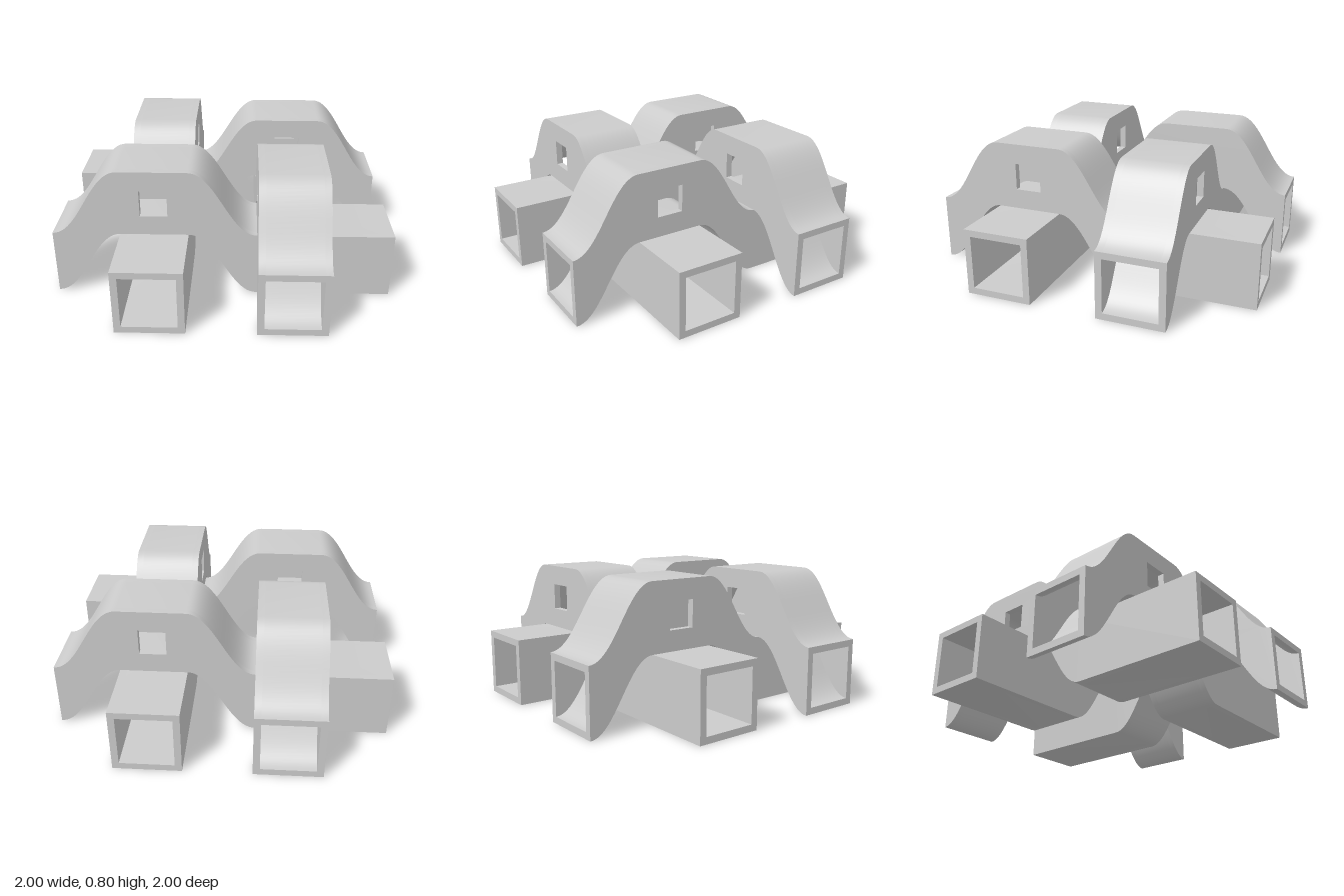
import * as THREE from 'three';
import { toCreasedNormals } from 'three/addons/utils/BufferGeometryUtils.js';

const SIZE = 0.4;    // outer width and height of a tube
const WALL = 0.04;   // wall thickness
const RISE = 0.4;    // height of the hump
const HANDLE = 0.16; // horizontal handle of the S-bends

// Band that follows the hump, between two heights above the tube's underside
function band(lo, hi) {
  const s = new THREE.Shape();
  const bend = (x0, y0, x1, y1) => {
    const h = HANDLE * Math.sign(x1 - x0);
    s.bezierCurveTo(x0 + h, y0, x1 - h, y1, x1, y1);
  };
  s.moveTo(-1, lo);
  bend(-1, lo, -0.6, lo + RISE);
  s.lineTo(-0.2, lo + RISE);
  bend(-0.2, lo + RISE, 0.2, lo);
  s.lineTo(1, lo);
  s.lineTo(1, hi);
  s.lineTo(0.2, hi);
  bend(0.2, hi, -0.2, hi + RISE);
  s.lineTo(-0.6, hi + RISE);
  bend(-0.6, hi + RISE, -1, hi);
  s.closePath();
  return s;
}

// Extrude a band along z, starting at z; open plates lose their hidden end caps
function extrude(shape, z, depth, capped) {
  const g = new THREE.ExtrudeGeometry(shape, { depth, bevelEnabled: false, curveSegments: 24 });
  if (!capped) {
    const { start, count } = g.groups[1];
    for (const key of ['position', 'normal', 'uv']) {
      const a = g.attributes[key];
      const part = a.array.slice(start * a.itemSize, (start + count) * a.itemSize);
      g.setAttribute(key, new THREE.BufferAttribute(part, a.itemSize));
    }
  }
  g.clearGroups();
  g.translate(0, 0, z);
  return toCreasedNormals(g, 0.5);
}

export function createModel() {
  const model = new THREE.Group();
  model.name = 'wovenTubes';
  const material = new THREE.MeshStandardMaterial({ color: 0xcccccc });

  // Side wall with a square window in the hump
  const wallShape = band(0, SIZE);
  const w = 0.08;
  wallShape.holes.push(new THREE.Path([
    new THREE.Vector2(-0.4 - w, 0.6 - w),
    new THREE.Vector2(-0.4 - w, 0.6 + w),
    new THREE.Vector2(-0.4 + w, 0.6 + w),
    new THREE.Vector2(-0.4 + w, 0.6 - w),
  ]));

  const half = SIZE / 2, inner = half - WALL;
  const parts = {
    outerWall: extrude(wallShape, inner, WALL, true),
    innerWall: extrude(wallShape, -half, WALL, true),
    floorPlate: extrude(band(0, WALL), -inner, 2 * inner, false),
    roofPlate: extrude(band(SIZE - WALL, SIZE), -inner, 2 * inner, false),
  };

  // Four identical tubes, each a quarter turn on, weave over and under
  ['frontTube', 'leftTube', 'backTube', 'rightTube'].forEach((name, i) => {
    const tube = new THREE.Group();
    tube.name = name;
    for (const [part, geometry] of Object.entries(parts)) {
      const mesh = new THREE.Mesh(geometry, material);
      mesh.name = part;
      mesh.position.z = 0.4;
      tube.add(mesh);
    }
    tube.rotation.y = i * Math.PI / 2;
    model.add(tube);
  });
  return model;
}
